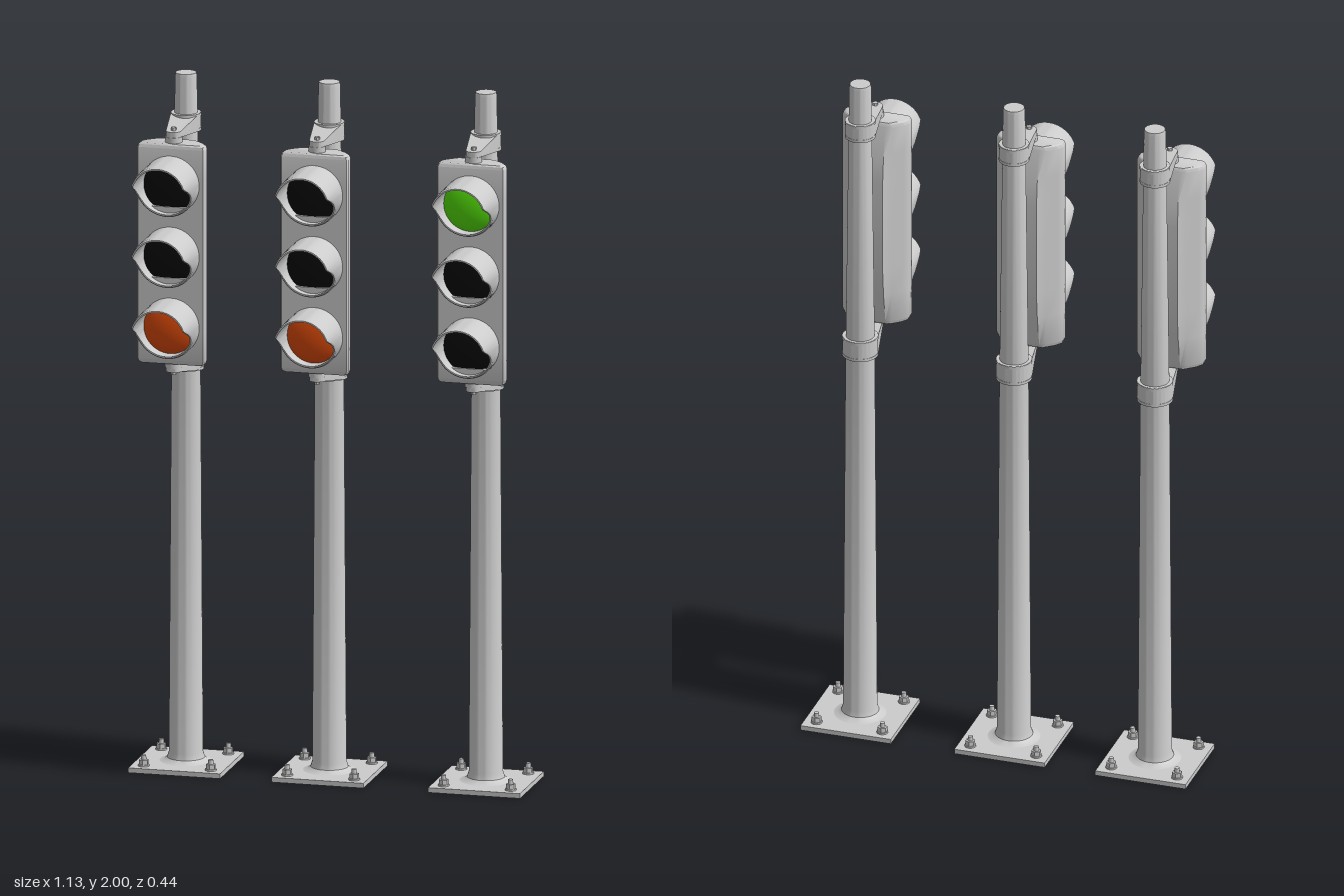
import * as THREE from 'three';
import { toCreasedNormals } from 'three/addons/utils/BufferGeometryUtils.js';

const POLE_Z = -0.091;
const grey = new THREE.MeshStandardMaterial({ color: 0xcccccc });
const paint = (color) => new THREE.MeshStandardMaterial({ color });
const black = paint(0x080808), orange = paint(0xdd4a08), green = paint(0x55e008);

function add(parent, name, geometry, x = 0, y = 0, z = 0, material = grey) {
  const mesh = new THREE.Mesh(geometry, material);
  mesh.name = name;
  mesh.position.set(x, y, z);
  parent.add(mesh);
  return mesh;
}

const crease = (g, angle = 0.6) => toCreasedNormals(g, angle);
const lathe = (pts, n = 40) =>
  crease(new THREE.LatheGeometry(pts.map((p) => new THREE.Vector2(...p)), n));

// Signal case: cross-sections stacked in y, with a bulge at the back
function caseGeometry() {
  const sections = [ // y, back z, inset
    [1.197, 0.011, 0.01], [1.201, 0.008, 0.003], [1.209, 0.006, 0], [1.297, -0.01, 0],
    [1.377, -0.018, 0], [1.657, -0.018, 0], [1.737, -0.01, 0], [1.82, 0.006, 0],
    [1.828, 0.008, 0.003], [1.832, 0.011, 0.01],
  ];
  const rings = sections.map(([y, back, inset]) => {
    const side = [[0.094, 0.078], [0.098, 0.073], [0.098, 0.048], [0.088, 0.034],
      [0.06, 0.011], [0.042, back]].map(([x, z]) => [x - inset, z - (z > 0.06 ? inset * 0.5 : 0)]);
    const loop = [...side, ...side.slice().reverse().map(([x, z]) => [-x, z])];
    return loop.map(([x, z]) => [x, y, z]);
  });
  const n = rings[0].length, pos = [];
  const tri = (a, b, c) => pos.push(...a, ...b, ...c);
  for (let i = 0; i < rings.length - 1; i++) {
    for (let j = 0; j < n; j++) {
      const k = (j + 1) % n, a = rings[i], b = rings[i + 1];
      tri(a[j], b[k], b[j]);
      tri(a[j], a[k], b[k]);
    }
  }
  const low = rings[0], high = rings[rings.length - 1];
  for (let j = 1; j < n - 1; j++) {
    tri(low[0], low[j + 1], low[j]);
    tri(high[0], high[j], high[j + 1]);
  }
  const g = new THREE.BufferGeometry();
  g.setAttribute('position', new THREE.Float32BufferAttribute(pos, 3));
  return crease(g, 0.7);
}

// Visor: a thin tube whose length depends on the height around the rim
function visorGeometry(r = 0.083) {
  const cut = [[-1, 0.045], [-0.45, 0.058], [-0.2, 0.072], [0, 0.092], [0.15, 0.115], [0.3, 0.144], [1, 0.144]];
  const length = (h) => {
    const i = Math.max(1, cut.findIndex(([v]) => v >= h));
    const [a, la] = cut[i - 1], [b, lb] = cut[i];
    return THREE.MathUtils.lerp(la, lb, (h - a) / (b - a));
  };
  const profile = [[r, 0], [r, 0.9], [r - 0.003, 1], [r - 0.007, 1], [r - 0.007, 0]];
  const g = new THREE.LatheGeometry(profile.map((p) => new THREE.Vector2(...p)), 56);
  g.rotateX(Math.PI / 2);
  const p = g.attributes.position;
  for (let i = 0; i < p.count; i++) {
    const h = THREE.MathUtils.clamp(p.getY(i) / Math.hypot(p.getX(i), p.getY(i)), -1, 1);
    p.setZ(i, p.getZ(i) * length(h));
  }
  return crease(g, 0.7);
}

// Shallow domed lens facing forward
function lensGeometry() {
  const g = new THREE.SphereGeometry(0.078, 36, 10, 0, Math.PI * 2, 0, Math.PI / 2);
  return g.rotateX(Math.PI / 2).scale(1, 1, 0.35);
}

// Small grey sill along the bottom of an unlit lens
function sillGeometry() {
  const s = new THREE.Shape();
  s.absarc(0, 0, 0.078, Math.PI * 1.27, Math.PI * 1.73, false);
  s.closePath();
  return new THREE.ExtrudeGeometry(s, { depth: 0.024, bevelEnabled: false, curveSegments: 14 });
}

// Bracket arm: tapered outline from collar to tip, its height tapering too
function armGeometry(r, collar, tip) {
  const reach = 0.134, tipR = 0.022, s = new THREE.Shape();
  const a = Math.asin((r - tipR) / reach);
  s.absarc(0, 0, r, Math.PI - a, Math.PI * 2 + a, false);
  s.absarc(0, reach, tipR, a, Math.PI - a, false);
  s.closePath();
  const g = new THREE.ExtrudeGeometry(s, { depth: 1, bevelEnabled: false, curveSegments: 28 });
  g.rotateX(Math.PI / 2); // depth runs down, outline y becomes z
  const p = g.attributes.position;
  for (let i = 0; i < p.count; i++) {
    const t = THREE.MathUtils.smoothstep(p.getZ(i), r * 0.9, reach - tipR);
    const side = p.getY(i) > -0.5 ? 1 : 0;
    p.setY(i, THREE.MathUtils.lerp(collar[side], tip[side], t));
  }
  return crease(g, 0.6);
}

function bracket(parent, name, r, collar, tip, boltY) {
  const group = new THREE.Group();
  group.name = name;
  parent.add(group);
  add(group, 'bracketArm', armGeometry(r, collar, tip), 0, 0, POLE_Z);
  // Rim bands around the collar
  for (const y of [collar[0] + 0.005, collar[1] - 0.005]) {
    add(group, 'collarRim', new THREE.CylinderGeometry(r + 0.001, r + 0.001, 0.008, 40), 0, y, POLE_Z);
  }
  // Pivot joining the tip to the case, with its bolt head
  add(group, 'pivot', new THREE.CylinderGeometry(0.024, 0.024, 0.022, 28), 0, boltY.pivot, 0.043);
  add(group, 'boltHead', crease(new THREE.CylinderGeometry(0.008, 0.008, 0.012, 6), 0.3), 0, boltY.head, 0.043);
}

function signal(x, colors) {
  const g = new THREE.Group();
  g.name = 'trafficSignal';
  g.position.x = x;

  // Base plate with four anchor bolts
  add(g, 'basePlate', new THREE.BoxGeometry(0.266, 0.014, 0.26), 0, 0.007, POLE_Z);
  for (const sx of [-1, 1]) {
    for (const sz of [-1, 1]) {
      const bx = sx * 0.097, bz = POLE_Z + sz * 0.096;
      add(g, 'washer', new THREE.CylinderGeometry(0.016, 0.016, 0.005, 20), bx, 0.016, bz);
      add(g, 'nut', crease(new THREE.CylinderGeometry(0.014, 0.014, 0.014, 6), 0.3), bx, 0.025, bz);
      add(g, 'anchorBolt', new THREE.CylinderGeometry(0.007, 0.008, 0.03, 16), bx, 0.03, bz);
    }
  }

  // Tapered pole with a flared foot
  add(g, 'pole', lathe([[0.078, 0.013], [0.062, 0.017], [0.053, 0.024], [0.048, 0.04],
    [0.041, 1.15], [0.031, 1.99], [0.029, 2], [0, 2]]), 0, 0, POLE_Z);

  // Upper and lower brackets
  bracket(g, 'upperBracket', 0.042, [1.834, 1.886], [1.847, 1.864], { pivot: 1.837, head: 1.868 });
  bracket(g, 'lowerBracket', 0.05, [1.146, 1.206], [1.17, 1.187], { pivot: 1.193, head: 1.166 });

  // Case with three lights
  add(g, 'signalCase', caseGeometry());
  colors.forEach((color, i) => {
    const y = 1.716 - i * 0.205;
    add(g, 'visor', visorGeometry(), 0, y, 0.077);
    add(g, 'lens', lensGeometry(), 0, y, 0.078, color);
    if (color === black) add(g, 'lensSill', sillGeometry(), 0, y, 0.076);
  });
  return g;
}

export function createModel() {
  const model = new THREE.Group();
  model.name = 'trafficSignals';
  model.add(
    signal(-0.434, [black, black, orange]),
    signal(-0.019, [black, black, orange]),
    signal(0.434, [green, black, black]),
  );
  return model;
}
